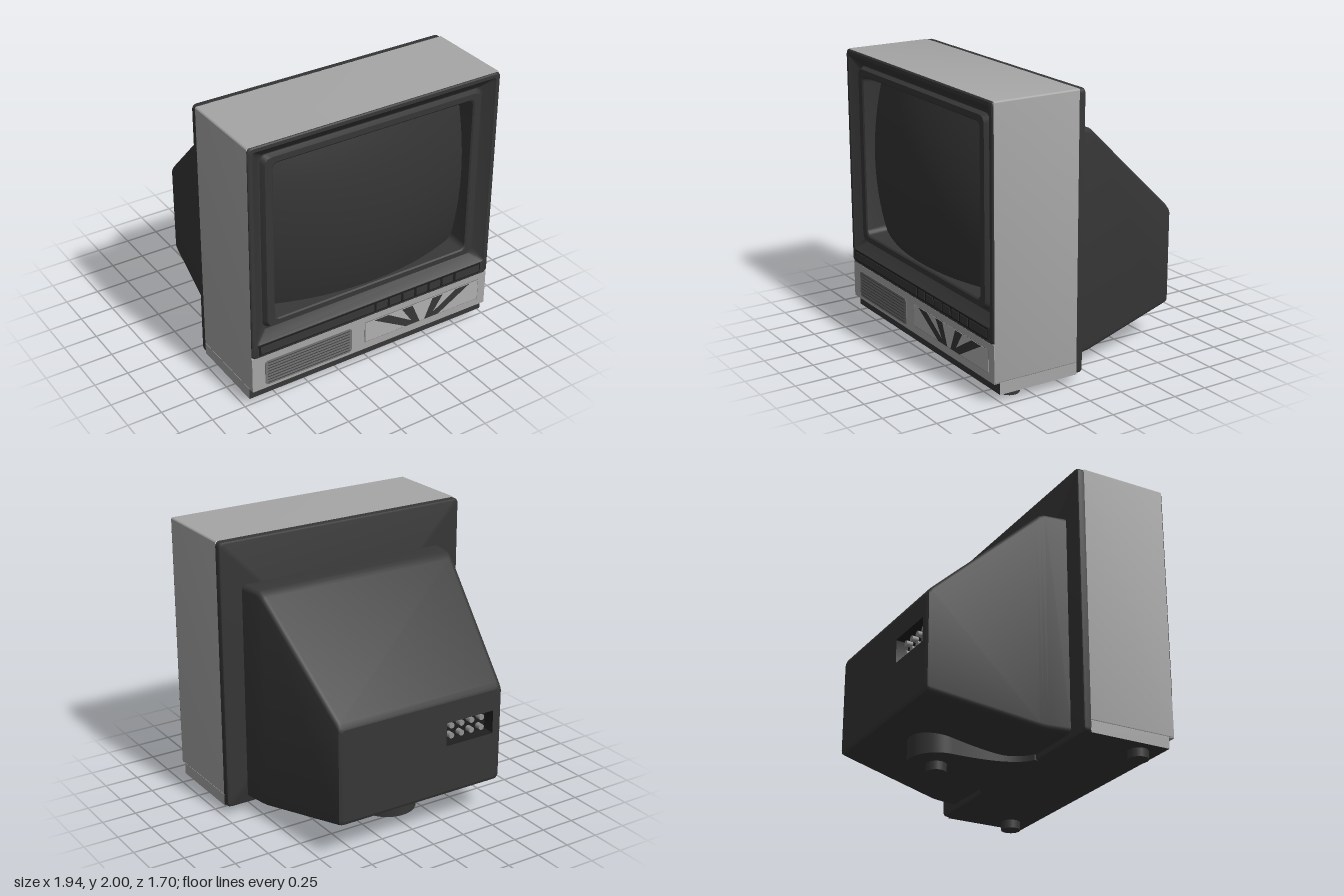
import * as THREE from 'three';
import { toCreasedNormals } from 'three/addons/utils/BufferGeometryUtils.js';

const paint = (name, color, side = THREE.FrontSide) => {
  const m = new THREE.MeshStandardMaterial({ color, side });
  m.name = name;
  return m;
};

// Counter-clockwise outline of a rounded rectangle centred on x = 0
function outline(hw, y0, y1, r, n = 4) {
  const pts = [];
  const corners = [[hw - r, y1 - r], [-hw + r, y1 - r], [-hw + r, y0 + r], [hw - r, y0 + r]];
  corners.forEach(([cx, cy], k) => {
    for (let i = 0; i <= n; i++) {
      const a = (k + i / n) * Math.PI / 2;
      pts.push(new THREE.Vector2(cx + r * Math.cos(a), cy + r * Math.sin(a)));
    }
  });
  return pts;
}

// Skin over rounded rectangles, each given as [halfWidth, bottom, top, radius, z]
function loft(rings) {
  const pos = [], index = [];
  let n = 0;
  for (const [hw, y0, y1, r, z] of rings) {
    const pts = outline(hw, y0, y1, r);
    n = pts.length;
    pts.forEach(p => pos.push(p.x, p.y, z));
  }
  for (let i = 0; i < rings.length - 1; i++) {
    for (let j = 0; j < n; j++) {
      const a = i * n + j, b = i * n + (j + 1) % n;
      index.push(a, b, b + n, a, b + n, a + n);
    }
  }
  const geo = new THREE.BufferGeometry();
  geo.setAttribute('position', new THREE.Float32BufferAttribute(pos, 3));
  geo.setIndex(index);
  return toCreasedNormals(geo, 0.5);
}

export function createModel() {
  const dark = paint('charcoal plastic', 0x363636);
  const black = paint('black groove', 0x1e1e1e, THREE.DoubleSide);
  const glass = paint('screen glass', 0x343434);
  const grey = paint('grey casing', 0xa6a6a6);
  const pale = paint('pale panel', 0xb0b0b0);
  const mid = paint('grille grey', 0x727272);
  const metal = paint('socket metal', 0x909090);

  const model = new THREE.Group();
  const add = (name, geo, mat, x = 0, y = 0, z = 0, parent = model) => {
    const m = new THREE.Mesh(geo, mat);
    m.name = name;
    m.position.set(x, y, z);
    parent.add(m);
    return m;
  };
  // Box given by its left, right, bottom, top, back and front limits
  const block = (name, mat, x0, x1, y0, y1, z0, z1) =>
    add(name, new THREE.BoxGeometry(x1 - x0, y1 - y0, z1 - z0), mat, (x0 + x1) / 2, (y0 + y1) / 2, (z0 + z1) / 2);

  // Casing sleeve, lower front panel and stepped plinth
  add('casing', loft([[0.97, 0.14, 2, 0.012, 0.16], [0.97, 0.14, 2, 0.012, 0.8]]), grey);
  block('lowerFrontPanel', grey, -0.968, 0.968, 0.141, 0.41, 0.6, 0.803);
  block('plinth', [grey, grey, grey, dark, dark, dark], -0.97, 0.97, 0.06, 0.145, 0.16, 0.76);

  // Rear plate
  add('rearPlate', loft([
    [0.002, 1, 1.004, 0.001, 0.11], [0.955, 0.075, 1.985, 0.03, 0.11],
    [0.966, 0.064, 1.996, 0.03, 0.116], [0.97, 0.06, 2, 0.03, 0.126], [0.97, 0.06, 2, 0.03, 0.162],
  ]), dark);

  // Stepped bezel around the screen
  add('bezel', loft([
    [0.97, 0.41, 2, 0.03, 0.795], [0.968, 0.412, 1.998, 0.03, 0.805], [0.96, 0.42, 1.99, 0.03, 0.811],
    [0.935, 0.515, 1.965, 0.02, 0.811], [0.925, 0.525, 1.955, 0.02, 0.8], [0.865, 0.585, 1.9, 0.04, 0.755],
    [0.855, 0.6, 1.895, 0.05, 0.755], [0.835, 0.615, 1.88, 0.05, 0.788],
    [0.785, 0.65, 1.84, 0.04, 0.788], [0.775, 0.66, 1.83, 0.04, 0.78], [0.752, 0.68, 1.815, 0.05, 0.6],
  ]), dark);

  // Domed picture tube
  const tube = new THREE.PlaneGeometry(1.54, 1.17, 28, 22);
  const p = tube.attributes.position;
  for (let i = 0; i < p.count; i++) p.setZ(i, 0.85 - (p.getX(i) ** 2 + p.getY(i) ** 2) / 4.2);
  tube.computeVertexNormals();
  add('screen', tube, glass, 0, 1.25, 0);

  // Control strip: long flap, six keys and a wide key
  block('controlGroove', black, -0.92, 0.905, 0.43, 0.51, 0.806, 0.813);
  block('controlFlap', dark, -0.905, -0.005, 0.442, 0.498, 0.808, 0.817);
  for (let i = 0; i < 6; i++) {
    const x = 0.012 + i * 0.112;
    block('key', dark, x, x + 0.092, 0.442, 0.498, 0.808, 0.817);
  }
  block('wideKey', dark, 0.686, 0.893, 0.442, 0.498, 0.808, 0.817);

  // Speaker grille with fine slots
  add('speakerGrille', new THREE.ExtrudeGeometry(
    new THREE.Shape(outline(0.345, 0.165, 0.36, 0.025)), { depth: 0.006, bevelEnabled: false }), mid, -0.525, 0, 0.801);
  for (let i = 0; i < 8; i++) {
    const y = 0.182 + i * 0.023;
    block('grilleSlot', dark, -0.85, -0.2, y - 0.002, y + 0.002, 0.804, 0.809);
  }

  // Display panel with fanned dark rays
  block('panelBorder', mid, -0.073, 0.903, 0.197, 0.363, 0.802, 0.805);
  block('displayPanel', pale, -0.069, 0.899, 0.201, 0.359, 0.802, 0.807);
  for (const s of [-1, 1]) {
    for (const [t0, t1, b0, b1] of [[0.29, 0.41, 0.04, 0.14], [0.085, 0.175, 0.02, 0.07]]) {
      const ray = new THREE.Shape([[t0, 0.357], [b0, 0.203], [b1, 0.203], [t1, 0.357]]
        .map(([x, y]) => new THREE.Vector2(s * x, y)));
      add('panelRay', new THREE.ShapeGeometry(ray), dark, 0.41, 0, 0.81);
    }
  }

  // Tapered rear housing
  const half = z => 0.81 - 0.155 * (0.11 - z) / 0.96;
  const sections = [
    [-0.842, 0.258, 0.962], [-0.82, 0.25, 0.99], [-0.1, 1e-3 + 0.108, 1.645],
    [-0.075, 0.105, 1.667], [-0.04, 0.102, 1.68], [0.112, 0.1, 1.68],
  ].map(([z, y0, y1]) => [half(z), y0, y1, 0.035, z]);
  const backRing = [0.633, 0.278, 0.942, 0.03, -0.85];
  add('rearHousing', loft([backRing, ...sections]), dark);

  // Back wall, cut open for the sockets
  const wall = new THREE.Shape(outline(...backRing.slice(0, 4)));
  wall.holes.push(new THREE.Path(outline(0.195, 0.62, 0.79, 0.006).map(v => v.clone().setX(v.x + 0.395)).reverse()));
  add('backWall', new THREE.ShapeGeometry(wall), dark, 0, 0, -0.85).rotation.y = Math.PI;

  // Socket recess
  const sockets = new THREE.Group();
  sockets.name = 'sockets';
  sockets.position.x = -0.395;
  model.add(sockets);
  add('socketRecess', loft([
    [0.195, 0.62, 0.79, 0.006, -0.85], [0.185, 0.63, 0.78, 0.006, -0.77], [0.002, 0.7, 0.704, 0.001, -0.77],
  ]), black, 0, 0, 0, sockets);
  for (let i = 0; i < 8; i++) {
    const jack = add('socket', new THREE.CylinderGeometry(0.021, 0.021, 0.05, 14), metal,
      -0.126 + (i % 4) * 0.084, i < 4 ? 0.668 : 0.742, -0.79, sockets);
    jack.rotation.x = Math.PI / 2;
  }

  // Rounded support tongue under the housing
  const tongue = new THREE.Shape();
  tongue.moveTo(0.37, 0.17);
  tongue.lineTo(-0.37, 0.17);
  tongue.lineTo(-0.37, 0.1);
  tongue.quadraticCurveTo(-0.2, 0.02, -0.205, -0.43);
  tongue.absarc(0, -0.43, 0.205, Math.PI, Math.PI * 2, false);
  tongue.quadraticCurveTo(0.2, 0.02, 0.37, 0.1);
  const tongueGeo = new THREE.ExtrudeGeometry(tongue, { depth: 0.16, bevelEnabled: false, curveSegments: 20 });
  add('supportTongue', toCreasedNormals(tongueGeo, 0.5), dark, 0, 0.22, 0).rotation.x = Math.PI / 2;

  // Three feet
  for (const [x, z] of [[-0.835, 0.605], [0.835, 0.605], [0.018, -0.43]]) {
    add('foot', new THREE.CylinderGeometry(0.07, 0.07, 0.07, 24), dark, x, 0.035, z);
  }
  return model;
}
